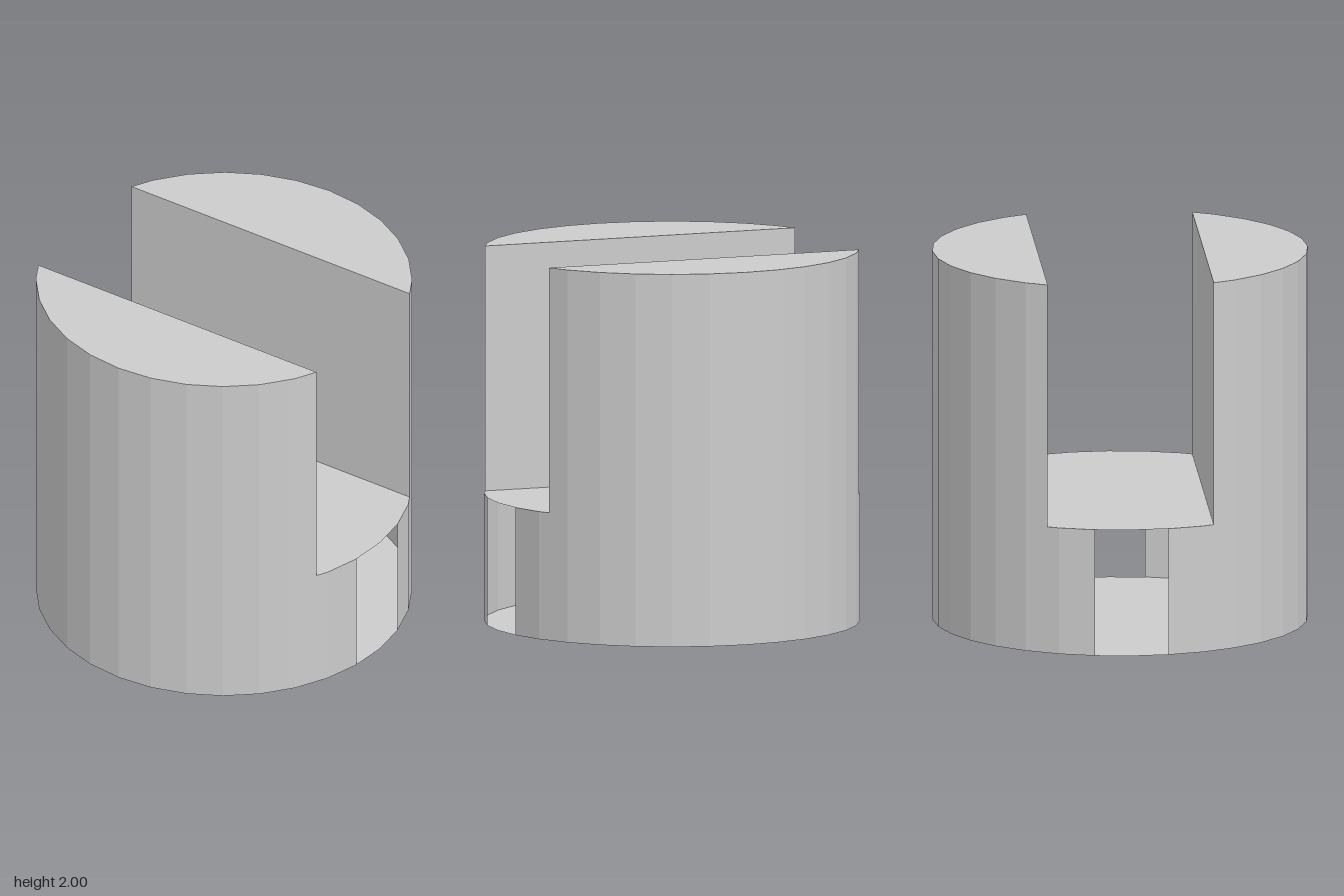
import * as THREE from 'three';

const SIDES = 32, HEIGHT = 2, FLOOR_Y = 0.685, SLOT_Z = 0.442;
const OPENING_Z = Math.sin((2 * Math.PI) / SIDES); // half width of the end windows

// Round outline (x, z), with extra points where the slot planes cross it
function makeOutline() {
  const points = [];
  for (let i = 0; i < SIDES; i++) {
    const [a, b] = [i, i + 1].map((k) => {
      const t = (k / SIDES) * Math.PI * 2;
      return new THREE.Vector2(Math.cos(t), Math.sin(t));
    });
    points.push(a);
    for (const z of [-SLOT_Z, SLOT_Z]) {
      if ((a.y - z) * (b.y - z) < 0) points.push(a.clone().lerp(b, (z - a.y) / (b.y - a.y)));
    }
  }
  return points;
}

export function createModel() {
  const group = new THREE.Group();
  const material = new THREE.MeshStandardMaterial({
    color: 0xcccccc, flatShading: true, side: THREE.DoubleSide,
  });
  const outline = makeOutline();

  function addMesh(name, positions) {
    const geometry = new THREE.BufferGeometry();
    geometry.setAttribute('position', new THREE.Float32BufferAttribute(positions, 3));
    geometry.computeVertexNormals();
    const mesh = new THREE.Mesh(geometry, material);
    mesh.name = name;
    group.add(mesh);
  }

  // Upright rectangle standing on the line a-b
  function panel(a, b, y0, y1) {
    return [
      a.x, y0, a.y, a.x, y1, a.y, b.x, y1, b.y,
      a.x, y0, a.y, b.x, y1, b.y, b.x, y0, b.y,
    ];
  }

  // Flat convex sheet at height y
  function sheet(points, y, up) {
    const out = [];
    for (let i = 1; i < points.length - 1; i++) {
      const [p, q] = up ? [points[i + 1], points[i]] : [points[i], points[i + 1]];
      out.push(points[0].x, y, points[0].y, p.x, y, p.y, q.x, y, q.y);
    }
    return out;
  }

  // Thin outer shell: low below the slot, missing at the two end windows
  const shell = [];
  outline.forEach((a, i) => {
    const b = outline[(i + 1) % outline.length];
    const z = Math.abs(a.y + b.y) / 2;
    if (z > OPENING_Z) shell.push(...panel(a, b, 0, z > SLOT_Z ? HEIGHT : FLOOR_Y));
  });
  addMesh('outerShell', shell);

  // Base disc and slot floor
  const eps = 1e-6;
  addMesh('base', sheet(outline, 0, false));
  addMesh('slotFloor', sheet(outline.filter((p) => Math.abs(p.y) < SLOT_Z + eps), FLOOR_Y, true));

  // Top cap and slot wall on each side of the slot
  for (const [side, name] of [[1, 'front'], [-1, 'back']]) {
    const cap = outline.filter((p) => p.y * side > SLOT_Z - eps);
    addMesh(name + 'Top', sheet(cap, HEIGHT, true));
    addMesh(name + 'SlotWall', panel(cap[cap.length - 1], cap[0], FLOOR_Y, HEIGHT));
  }
  return group;
}
